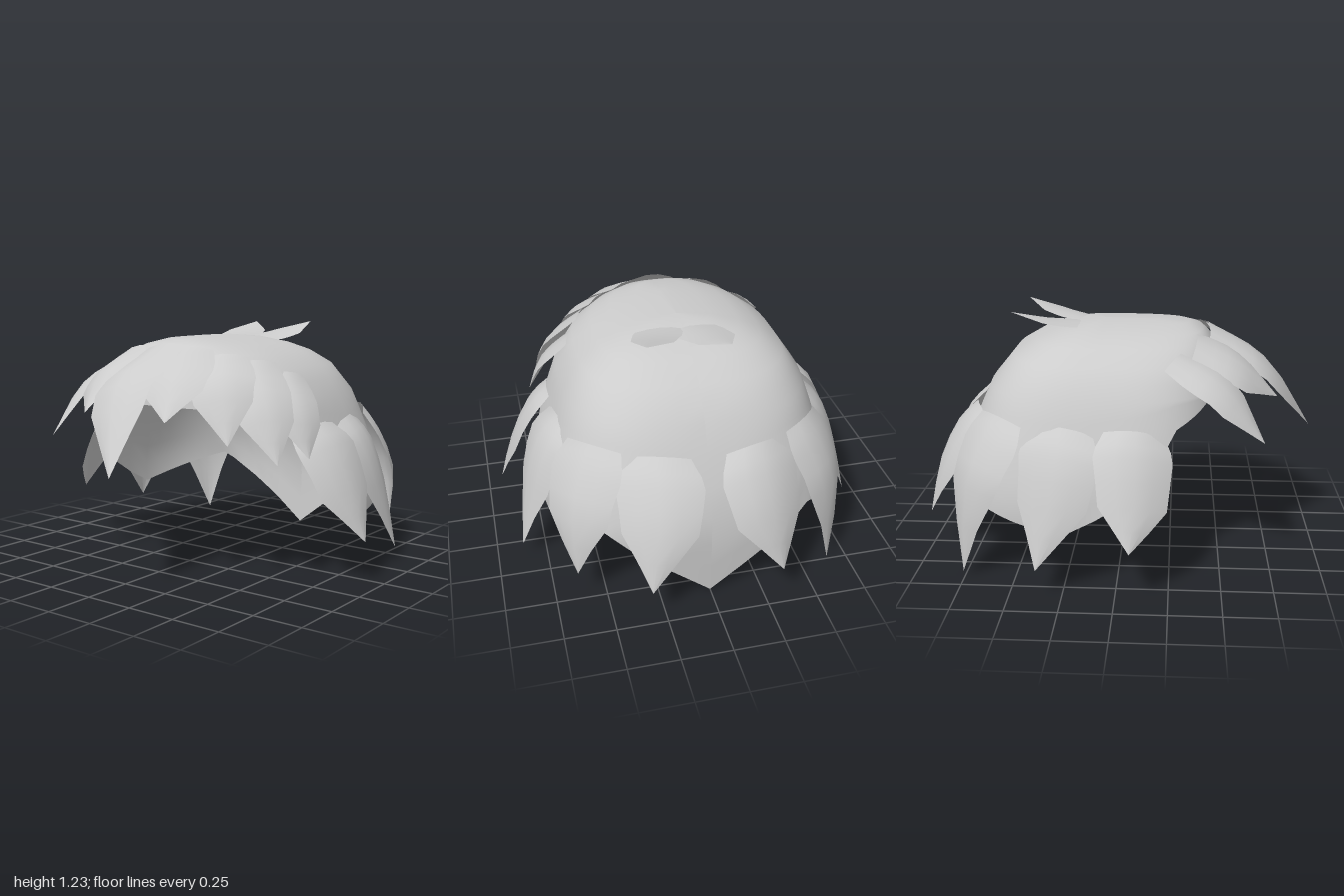
import * as THREE from 'three';

const hair = new THREE.MeshStandardMaterial({ color: 0xcccccc, side: THREE.DoubleSide });
hair.name = 'light grey hair';

// Surface over a rows x cols grid of points given by a function
function gridMesh(name, rows, cols, point) {
  const pos = [], index = [];
  for (let r = 0; r <= rows; r++)
    for (let c = 0; c <= cols; c++) pos.push(...point(r, c).toArray());
  for (let r = 0; r < rows; r++)
    for (let c = 0; c < cols; c++) {
      const a = r * (cols + 1) + c, b = a + cols + 1;
      index.push(a, b, a + 1, a + 1, b, b + 1);
    }
  const geo = new THREE.BufferGeometry();
  geo.setAttribute('position', new THREE.Float32BufferAttribute(pos, 3));
  geo.setIndex(index);
  geo.computeVertexNormals();
  const mesh = new THREE.Mesh(geo, hair);
  mesh.name = name;
  return mesh;
}

// Linear lookup in a list of [key, value] pairs with rising keys
function lookup(table, k) {
  for (let i = 1; i < table.length; i++) {
    const [k0, v0] = table[i - 1], [k1, v1] = table[i];
    if (k <= k1) return v0 + (v1 - v0) * Math.max(0, (k - k0) / (k1 - k0));
  }
  return table[table.length - 1][1];
}

// Cap: rounded-square dome, fuller at the brow, with a zigzag lower edge
const RADIUS = [[0, 1.07], [0.4, 1.09], [0.6, 1.03], [0.75, 0.96], [0.88, 0.89],
  [1.02, 0.75], [1.09, 0.6], [1.13, 0.45], [1.16, 0.25], [1.17, 0]];
const HEM = [[0, 0.84], [36, 0.84], [60, 0.75], [96, 0.26], [144, 0.39],
  [150, 0.35], [162, 0.25], [168, 0.19], [174, 0.12], [180, 0]];
const LEVELS = [1.17, 1.168, 1.16, 1.13, 1.09, 1.02, 0.95, 0.88];

function cap() {
  const rows = LEVELS.length + 5;
  const pow = (v) => Math.sign(v) * Math.abs(v) ** 0.7;
  return gridMesh('cap', rows, 60, (r, c) => {
    const deg = c * 6 - 180, a = THREE.MathUtils.degToRad(deg);
    const hem = lookup(HEM, Math.abs(deg));
    const n = LEVELS.length - 1;
    const y = r <= n ? Math.max(LEVELS[r], hem) : THREE.MathUtils.lerp(0.88, hem, (r - n) / (rows - n));
    const rad = lookup(RADIUS, y), cz = Math.cos(a);
    const depth = cz > 0 ? 0.62 * rad ** 0.26 : 0.67 * rad ** 1.3;
    return new THREE.Vector3(0.68 * rad * pow(Math.sin(a)), y, -0.1 + depth * pow(cz));
  });
}

// Lock: pointed leaf along a curve, slightly arched across its width
const LEAF = [[0, 0.78], [0.2, 0.95], [0.35, 1], [0.65, 0.86], [1, 0]];
const STEPS = [0, 0.1, 0.2, 0.35, 0.5, 0.65, 0.82, 1];
const CENTRE = new THREE.Vector3(0, 0.4, -0.1);

function lock(name, points, halfWidth, arch = 0.25) {
  const curve = new THREE.CatmullRomCurve3(points.map((p) => new THREE.Vector3(...p)));
  const chord = curve.getPoint(1).sub(curve.getPoint(0));
  const side = chord.cross(curve.getPoint(0.5).sub(CENTRE)).normalize();
  return gridMesh(name, STEPS.length - 1, 4, (r, c) => {
    const t = STEPS[r], u = c / 2 - 1, w = halfWidth * lookup(LEAF, t);
    const out = side.clone().cross(curve.getTangent(t));
    return curve.getPoint(t).addScaledVector(side, -u * w).addScaledVector(out, -u * u * w * arch);
  });
}

export function createModel() {
  const model = new THREE.Group();
  model.name = 'hair';
  model.add(cap());

  // Hanging locks: flush with the cap at the top, tips uneven per side
  const hanging = [
    ['frontSideLock', [[0.65, 0.76, 0.09], [0.75, 0.67, 0.09], [0.86, 0.44, 0.09], [0.93, 0.21, 0.07]], 0.19, 0.26],
    ['rearSideLock', [[0.64, 0.77, -0.27], [0.74, 0.66, -0.28], [0.82, 0.42, -0.31], [0.87, 0.08, -0.37]], 0.2, 0.14],
    ['cornerLock', [[0.53, 0.79, -0.59], [0.59, 0.68, -0.65], [0.65, 0.45, -0.73], [0.64, 0.17, -0.76]], 0.2, 0.02],
    ['backLock', [[0.25, 0.77, -0.73], [0.255, 0.67, -0.83], [0.28, 0.45, -0.94], [0.32, 0.18, -0.99]], 0.21, 0.2],
  ];
  for (const [name, points, w, rightTipY] of hanging) {
    model.add(lock(name + 'Left', points, w));
    const mirrored = points.map(([x, y, z], i) => [-x, i === 3 ? rightTipY : y, z]);
    model.add(lock(name + 'Right', mirrored, w));
  }

  // Swept fringe, from the right temple round to the left temple
  const fringe = [
    [[[-0.42, 1.06, 0.27], [-0.5, 0.93, 0.5], [-0.53, 0.67, 0.7]], 0.13],
    [[[-0.28, 1.11, 0.37], [-0.29, 1.0, 0.59], [-0.22, 0.82, 0.78]], 0.16],
    [[[-0.03, 1.14, 0.44], [-0.04, 0.96, 0.74], [0.13, 0.57, 0.99]], 0.18],
    [[[0.12, 1.13, 0.42], [0.2, 1.01, 0.62], [0.28, 0.81, 0.78]], 0.17],
    [[[0.29, 1.1, 0.36], [0.4, 0.97, 0.51], [0.5, 0.7, 0.6]], 0.16],
    [[[0.41, 1.07, 0.27], [0.57, 0.88, 0.4], [0.68, 0.61, 0.46]], 0.15],
    [[[0.51, 1.01, 0.13], [0.65, 0.84, 0.23], [0.73, 0.62, 0.27]], 0.13],
  ];
  fringe.forEach((f, i) => model.add(lock('fringeLock' + (i + 1), ...f)));

  // Two flat tufts lifting off the crown
  model.add(lock('crownTuftRight', [[-0.01, 1.15, -0.17], [-0.1, 1.175, -0.37], [-0.15, 1.22, -0.57]], 0.12, 0.1));
  model.add(lock('crownTuftLeft', [[0.08, 1.15, -0.16], [0.16, 1.175, -0.33], [0.24, 1.23, -0.53]], 0.12, 0.1));
  return model;
}
